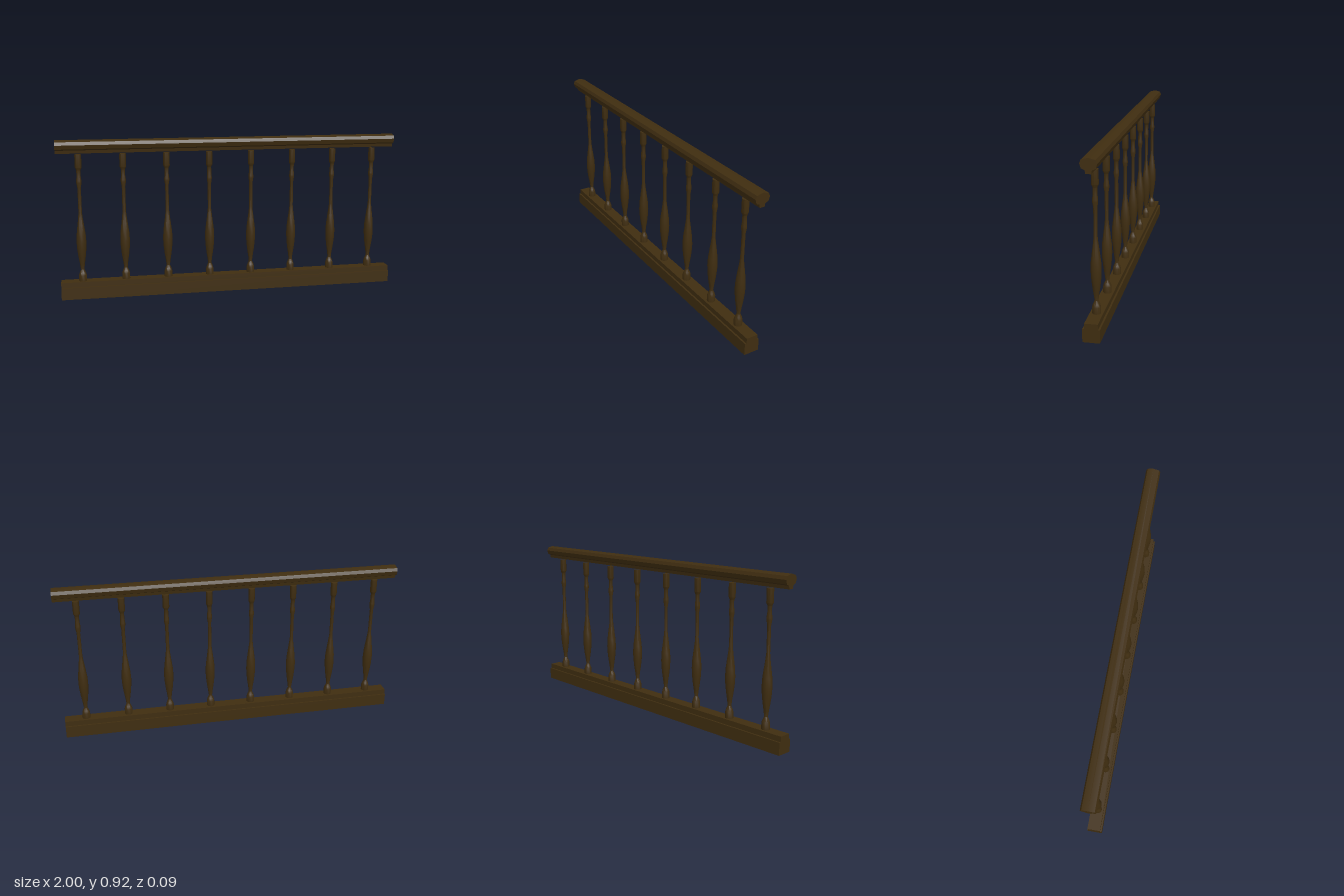
import * as THREE from 'three';
import { toCreasedNormals } from 'three/addons/utils/BufferGeometryUtils.js';

const LENGTH = 2;

export function createModel() {
  const model = new THREE.Group();
  model.name = 'balustrade';

  const darkWood = new THREE.MeshStandardMaterial({ color: 0x3f2d10 });
  darkWood.name = 'darkWood';

  const add = (name, geometry, x = 0, y = 0) => {
    const mesh = new THREE.Mesh(geometry, darkWood);
    mesh.name = name;
    mesh.position.set(x, y, 0);
    model.add(mesh);
  };

  // Stepped bottom beam
  add('baseBeam', new THREE.BoxGeometry(LENGTH, 0.07, 0.088), 0, 0.035);
  add('baseStep', new THREE.BoxGeometry(LENGTH, 0.03, 0.068), 0, 0.085);

  // Moulded handrail: half profile (z, y), mirrored and swept along x
  const half = [
    [0.014, 0.847], [0.017, 0.865], [0.035, 0.873],
    [0.042, 0.896], [0.034, 0.914],
  ];
  const outline = [
    ...half, [0, 0.923],
    ...half.map(([z, y]) => [-z, y]).reverse(),
  ].map(([z, y]) => new THREE.Vector2(z, y));
  const rail = new THREE.ExtrudeGeometry(new THREE.Shape(outline), {
    depth: LENGTH, bevelEnabled: false,
  });
  rail.translate(0, 0, -LENGTH / 2);
  rail.rotateY(Math.PI / 2);
  add('handrail', toCreasedNormals(rail, 0.6));

  // Turned baluster: foot, neck, belly, slim shaft, ring and top block
  const profile = [
    [0, 0.1], [0.023, 0.1], [0.023, 0.134], [0.018, 0.15], [0.01, 0.168],
    [0.014, 0.2], [0.021, 0.245], [0.026, 0.29], [0.028, 0.33],
    [0.026, 0.375], [0.019, 0.43], [0.013, 0.475], [0.01, 0.505],
    [0.01, 0.648], [0.015, 0.678], [0.015, 0.69], [0.012, 0.715],
    [0.012, 0.75], [0.019, 0.765], [0.019, 0.84], [0, 0.84],
  ].map(([r, y]) => new THREE.Vector2(r, y));
  const baluster = toCreasedNormals(new THREE.LatheGeometry(profile, 12), 0.6);
  for (let i = 0; i < 8; i++) add('baluster' + (i + 1), baluster, -0.875 + i * 0.25);

  return model;
}
